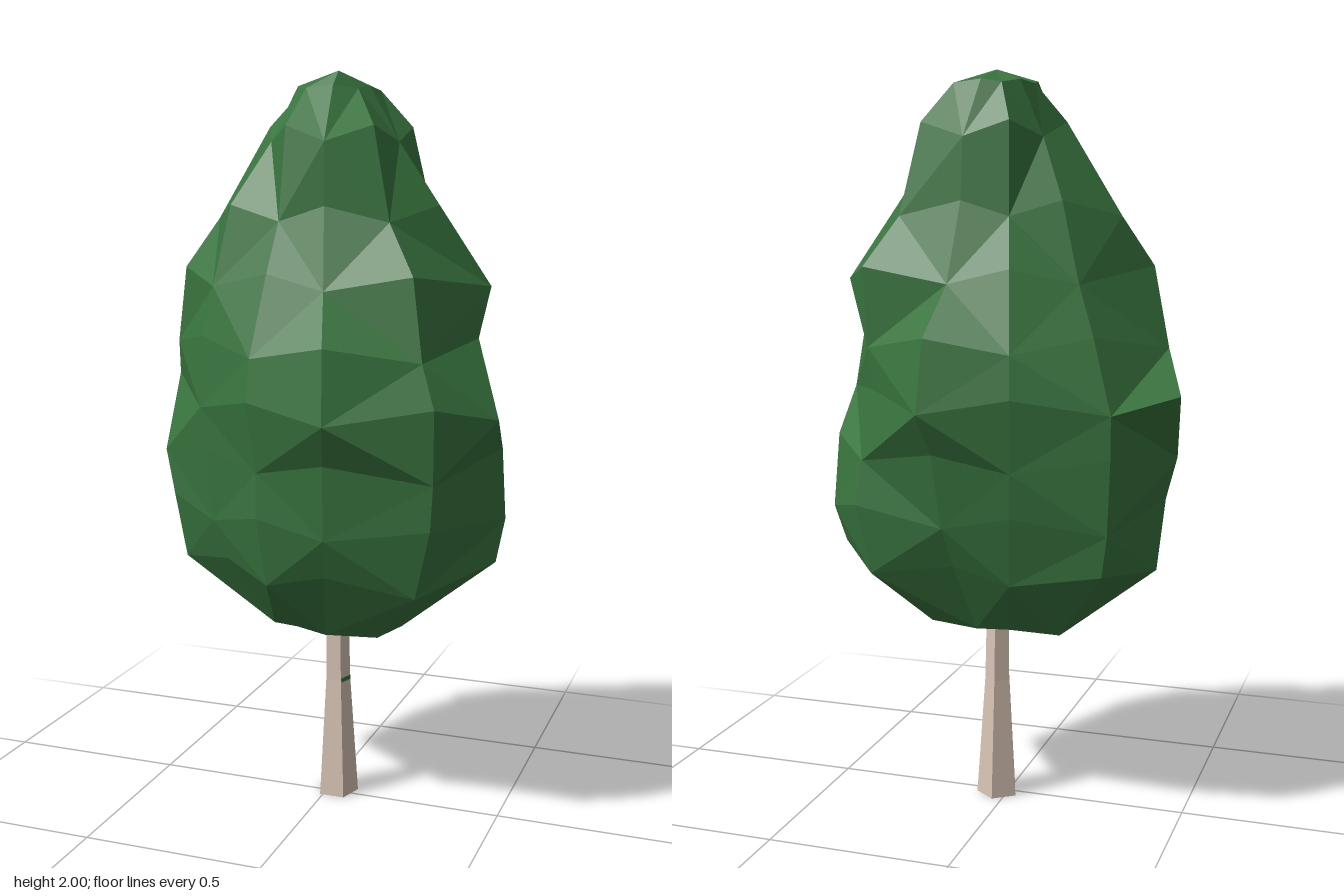
import * as THREE from 'three';

// Crown cross-sections: height, centre z, turn of the two pointed ends,
// then ten radii every 36 degrees from +x towards +z
const SECTIONS = [
  [0.52, 0.00, 0.00, [0.22, 0.24, 0.15, 0.13, 0.15, 0.19, 0.23, 0.16, 0.15, 0.22]],
  [0.69, 0.00, -0.10, [0.47, 0.40, 0.27, 0.26, 0.28, 0.41, 0.40, 0.26, 0.25, 0.39]],
  [0.84, 0.00, -0.20, [0.49, 0.46, 0.32, 0.30, 0.32, 0.43, 0.42, 0.31, 0.30, 0.43]],
  [1.00, 0.00, -0.14, [0.48, 0.47, 0.34, 0.30, 0.34, 0.46, 0.43, 0.33, 0.34, 0.41]],
  [1.15, 0.00, 0.25, [0.525, 0.47, 0.40, 0.335, 0.35, 0.515, 0.43, 0.35, 0.40, 0.38]],
  [1.30, 0.00, 0.00, [0.42, 0.42, 0.37, 0.32, 0.34, 0.44, 0.36, 0.33, 0.37, 0.39]],
  [1.47, 0.00, -0.15, [0.44, 0.38, 0.26, 0.25, 0.31, 0.39, 0.30, 0.26, 0.27, 0.40]],
  [1.64, 0.00, 0.00, [0.31, 0.28, 0.20, 0.20, 0.26, 0.31, 0.23, 0.20, 0.21, 0.30]],
  [1.84, 0.00, 0.00, [0.20, 0.21, 0.20, 0.17, 0.15, 0.16, 0.15, 0.19, 0.20, 0.24]],
  [1.96, -0.06, 0.00, [0.10, 0.11, 0.12, 0.12, 0.10, 0.09, 0.08, 0.08, 0.09, 0.13]],
];
const SIDES = 10;

// Lofts the sections into an uneven faceted crown with pointed ends
function crownGeometry() {
  const pos = [], index = [];
  const last = SECTIONS.length - 1;
  SECTIONS.forEach(([y, cz, turn, radii], i) => {
    const wobble = i === 0 || i === last ? 0.004 : 0.02;
    radii.forEach((r, j) => {
      const a = (j / SIDES) * Math.PI * 2 + (j % 5 === 0 ? turn : 0);
      const dy = wobble * ((i + j) % 2 ? 1 : -1);
      pos.push(r * Math.cos(a), y + dy, cz + r * Math.sin(a));
    });
  });
  const bottom = pos.length / 3, top = bottom + 1;
  pos.push(0.02, 0.49, 0.04, 0.04, 2, 0.02);
  for (let j = 0; j < SIDES; j++) {
    const k = (j + 1) % SIDES;
    index.push(j, k, bottom, last * SIDES + j, top, last * SIDES + k);
    for (let i = 0; i < last; i++) {
      const a = i * SIDES + j, b = i * SIDES + k, c = a + SIDES, d = b + SIDES;
      if ((i + j) % 2) index.push(a, c, b, b, c, d);
      else index.push(a, c, d, a, d, b);
    }
  }
  const geo = new THREE.BufferGeometry();
  geo.setAttribute('position', new THREE.Float32BufferAttribute(pos, 3));
  geo.setIndex(index);
  const flat = geo.toNonIndexed();
  flat.computeVertexNormals();
  return flat;
}

// Five-sided trunk, flared at the foot: height, radius, centre x, centre z
function trunkGeometry() {
  const rings = [[0, 0.0595, 0.027, -0.013], [0.34, 0.037, 0.025, -0.016], [0.7, 0.031, 0.022, -0.017]];
  const geo = new THREE.CylinderGeometry(1, 1, 1, 5, 2).rotateY(Math.PI).toNonIndexed();
  const p = geo.attributes.position;
  for (let i = 0; i < p.count; i++) {
    const [y, r, cx, cz] = rings[Math.round((p.getY(i) + 0.5) * 2)];
    p.setXYZ(i, cx + p.getX(i) * r, y, cz + p.getZ(i) * r);
  }
  geo.computeVertexNormals();
  return geo;
}

export function createModel() {
  const model = new THREE.Group();
  model.name = 'tree';
  const leaf = new THREE.MeshStandardMaterial({ name: 'leaf green', color: 0x39753f, flatShading: true });
  const bark = new THREE.MeshStandardMaterial({ name: 'pale bark', color: 0xd9c5b6, flatShading: true });

  const add = (name, geo, mat) => {
    const mesh = new THREE.Mesh(geo, mat);
    mesh.name = name;
    model.add(mesh);
    return mesh;
  };
  add('crown', crownGeometry(), leaf);
  add('trunk', trunkGeometry(), bark);
  // Small green fleck lying on the trunk's +x face
  const fleck = add('trunkFleck', new THREE.BoxGeometry(0.002, 0.012, 0.04), leaf);
  fleck.position.set(0.054, 0.34, -0.0066);
  fleck.rotation.y = -Math.PI / 10;
  return model;
}
